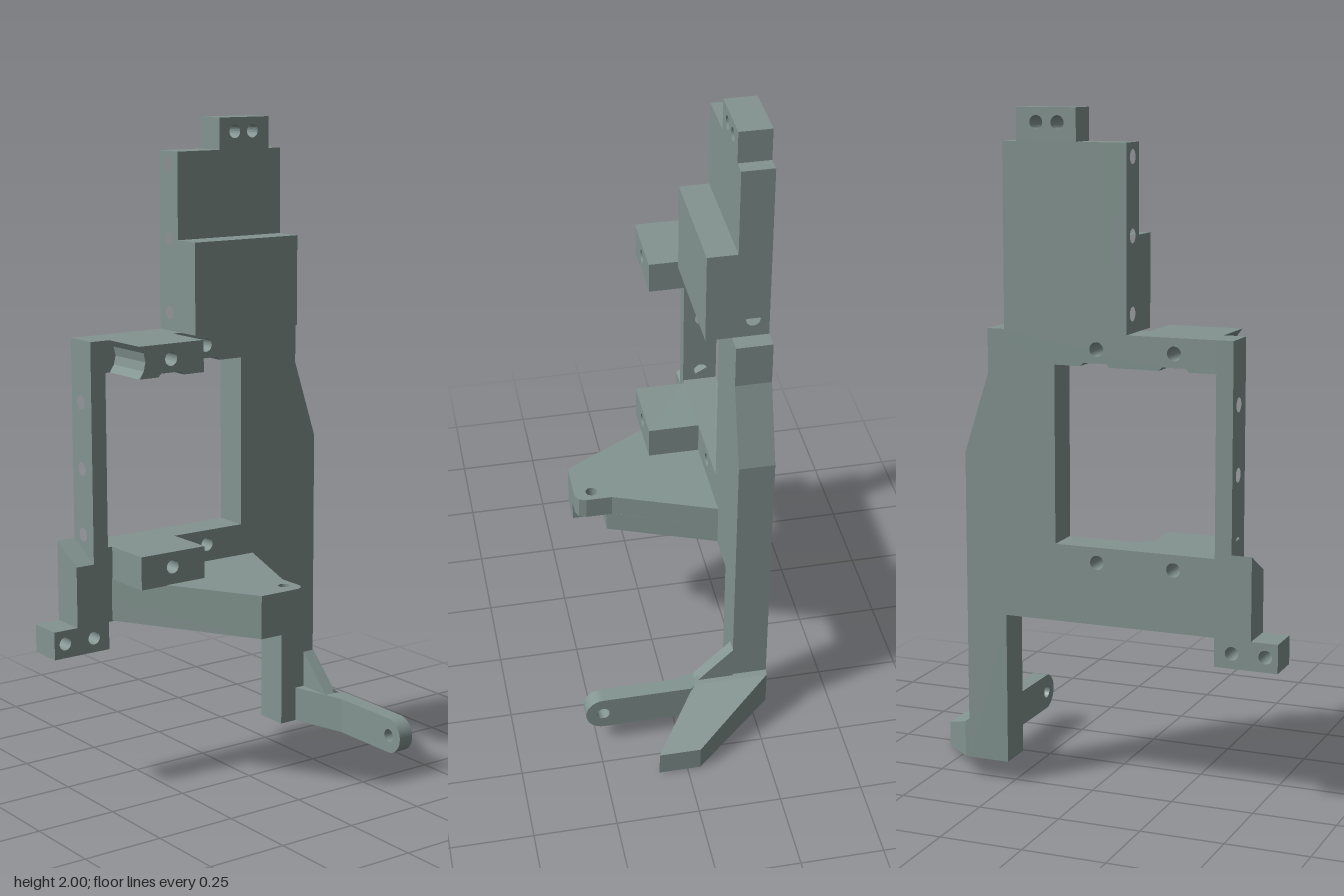
import * as THREE from 'three';

const BACK = -0.285, FRONT = -0.178;

// Shape from corner points, with round holes given as [x, y, radius]
function outline(points, holes = []) {
  const shape = new THREE.Shape(points.map(([x, y]) => new THREE.Vector2(x, y)));
  for (const [x, y, r] of holes) {
    const hole = new THREE.Path();
    hole.absarc(x, y, r, 0, Math.PI * 2, true);
    shape.holes.push(hole);
  }
  return shape;
}

const extrude = (shape, depth) =>
  new THREE.ExtrudeGeometry(shape, { depth, bevelEnabled: false, curveSegments: 12 });

// (x, y) shape between two z values
const alongZ = (shape, z0, z1) => extrude(shape, z1 - z0).translate(0, 0, z0);
// (-z, y) shape between two x values
const alongX = (shape, x0, x1) => extrude(shape, x1 - x0).rotateY(Math.PI / 2).translate(x0, 0, 0);
// (x, -z) shape between two y values
const alongY = (shape, y0, y1) => extrude(shape, y1 - y0).rotateX(-Math.PI / 2).translate(0, y0, 0);

const rect = (x0, y0, x1, y1) => [[x0, y0], [x1, y0], [x1, y1], [x0, y1]];
// swap [z, y] pairs for alongX, or [x, z] pairs for alongY
const side = (pts) => pts.map(([z, y]) => [-z, y]);
const plan = (pts) => pts.map(([x, z]) => [x, -z]);

// Solid through four-cornered sections [x, zFront, zBack, yBottom, yTopFront, yTopBack]
function loft(sections) {
  const pos = [];
  const rings = sections.map(([x, zf, zb, y0, y1]) =>
    [[x, y0, zf], [x, y0, zb], [x, y1, zb], [x, y1, zf]]);
  const quad = (a, b, c, d) => pos.push(...a, ...b, ...c, ...a, ...c, ...d);
  for (let i = 0; i + 1 < rings.length; i++) {
    for (let j = 0; j < 4; j++) {
      const k = (j + 1) % 4;
      quad(rings[i][j], rings[i][k], rings[i + 1][k], rings[i + 1][j]);
    }
  }
  quad(...rings[rings.length - 1]);
  quad(...[...rings[0]].reverse());
  const geo = new THREE.BufferGeometry();
  geo.setAttribute('position', new THREE.Float32BufferAttribute(pos, 3));
  geo.computeVertexNormals();
  return geo;
}

export function createModel() {
  const model = new THREE.Group();
  model.name = 'mountingBracket';
  const grey = new THREE.MeshStandardMaterial({ color: 0x839490 });
  grey.name = 'greyGreen';
  const add = (name, geo) => {
    const mesh = new THREE.Mesh(geo, grey);
    mesh.name = name;
    model.add(mesh);
  };

  // Main plate: top rail, right leg and lower rail around the window
  const screwHoles = [];
  for (const x of [-0.265, -0.03]) for (const y of [0.705, 1.325]) screwHoles.push([x, y, 0.021]);
  add('mainPlate', alongZ(outline([
    [-0.39, 1.37], [-0.39, 1.275], [-0.31, 1.275], [-0.30, 1.285], [-0.23, 1.285], [-0.22, 1.275],
    [-0.07, 1.275], [-0.06, 1.285], [0.01, 1.285], [0.02, 1.275], [0.10, 1.275], [0.10, 0.75],
    [-0.39, 0.75], [-0.39, 0.52], [0.26, 0.52], [0.26, 0.065], [0.387, 0.065], [0.387, 1.0],
    [0.31, 1.24], [0.31, 1.37],
  ], screwHoles), BACK, FRONT));

  // Window side bar with cross holes
  add('sideBar', alongX(outline(side([[BACK, 0.52], [FRONT, 0.52], [FRONT, 1.37], [BACK, 1.37]]),
    [1.185, 0.985, 0.785].map((y) => [0.235, y, 0.021])), -0.44, -0.39));

  // Sloped step and foot tab at the lower corner
  add('slopedStep', alongX(outline(side([[BACK, 0.52], [FRONT, 0.52], [FRONT, 0.705], [BACK, 0.765]])), -0.5, -0.44));
  add('footTab', alongZ(outline(rect(-0.58, 0.435, -0.39, 0.52),
    [[-0.543, 0.479, 0.02], [-0.443, 0.479, 0.02]]), BACK, FRONT));

  // Upper column: solid core between two ends with blind holes
  const column = side([[BACK, 1.37], [-0.102, 1.37], [-0.102, 1.645], [-0.19, 1.645], [-0.19, 1.905], [BACK, 1.905]]);
  const pins = [1.425, 1.645, 1.865].map((y) => [0.238, y, 0.021]);
  add('columnCore', alongX(outline(column), -0.04, 0.175));
  add('columnEnd', alongX(outline(column, pins), 0.175, 0.257));
  add('columnEnd', alongX(outline(column, pins), -0.122, -0.04));
  add('topTab', alongZ(outline(rect(0.03, 1.905, 0.213, 2.0),
    [[0.087, 1.958, 0.02], [0.152, 1.958, 0.02]]), BACK, -0.19));

  // Forward blocks above and below the window
  add('upperBlock', alongZ(outline([
    [-0.15, 1.37], [-0.375, 1.37], [-0.36, 1.35], [-0.354, 1.323], [-0.36, 1.297], [-0.375, 1.275],
    [-0.31, 1.275], [-0.30, 1.285], [-0.23, 1.285], [-0.22, 1.275], [-0.15, 1.275],
  ], [[-0.265, 1.325, 0.021]]), FRONT, -0.02));
  add('lowerBlock', alongZ(outline(rect(-0.375, 0.65, -0.15, 0.75),
    [[-0.265, 0.705, 0.021]]), FRONT, -0.02));

  // Tapered shelf, undercut beneath its holed tip
  add('shelfTop', alongY(outline(plan([
    [-0.378, FRONT], [-0.133, 0.242], [0.0, 0.242], [0.02, 0.232], [0.028, 0.21], [0.028, 0.13], [0.145, FRONT],
  ]), [[-0.01, -0.188, 0.018]]), 0.585, 0.652));
  add('shelfBase', alongY(outline(plan([
    [-0.378, FRONT], [-0.133, 0.242], [-0.048, 0.242], [-0.048, 0.147], [0.022, 0.147], [0.145, FRONT],
  ])), 0.522, 0.585));

  // Forward arm: tapered root, rounded eye end and gusset
  add('armRoot', alongY(outline(plan([
    [0.318, FRONT], [0.365, 0], [0.415, 0], [0.415, -0.045], [0.385, -0.07], [0.385, FRONT],
  ])), 0.065, 0.175));
  const arm = new THREE.Shape();
  arm.moveTo(0, 0.065);
  arm.lineTo(0, 0.175);
  arm.lineTo(-0.23, 0.175);
  arm.absarc(-0.23, 0.12, 0.055, Math.PI / 2, Math.PI * 1.5, false);
  const eye = new THREE.Path();
  eye.absarc(-0.232, 0.12, 0.02, 0, Math.PI * 2, true);
  arm.holes.push(eye);
  add('arm', alongX(arm, 0.365, 0.415));
  add('gusset', alongX(outline(side([[FRONT, 0.29], [FRONT, 0.175], [-0.062, 0.175]])), 0.35, 0.39));

  // Splayed foot
  add('foot', loft([
    [0.38, -0.065, BACK, 0.065, 0.19],
    [0.40, -0.055, BACK, 0.065, 0.175],
    [0.577, 0.087, -0.04, 0.0, 0.075],
  ]));

  return model;
}
